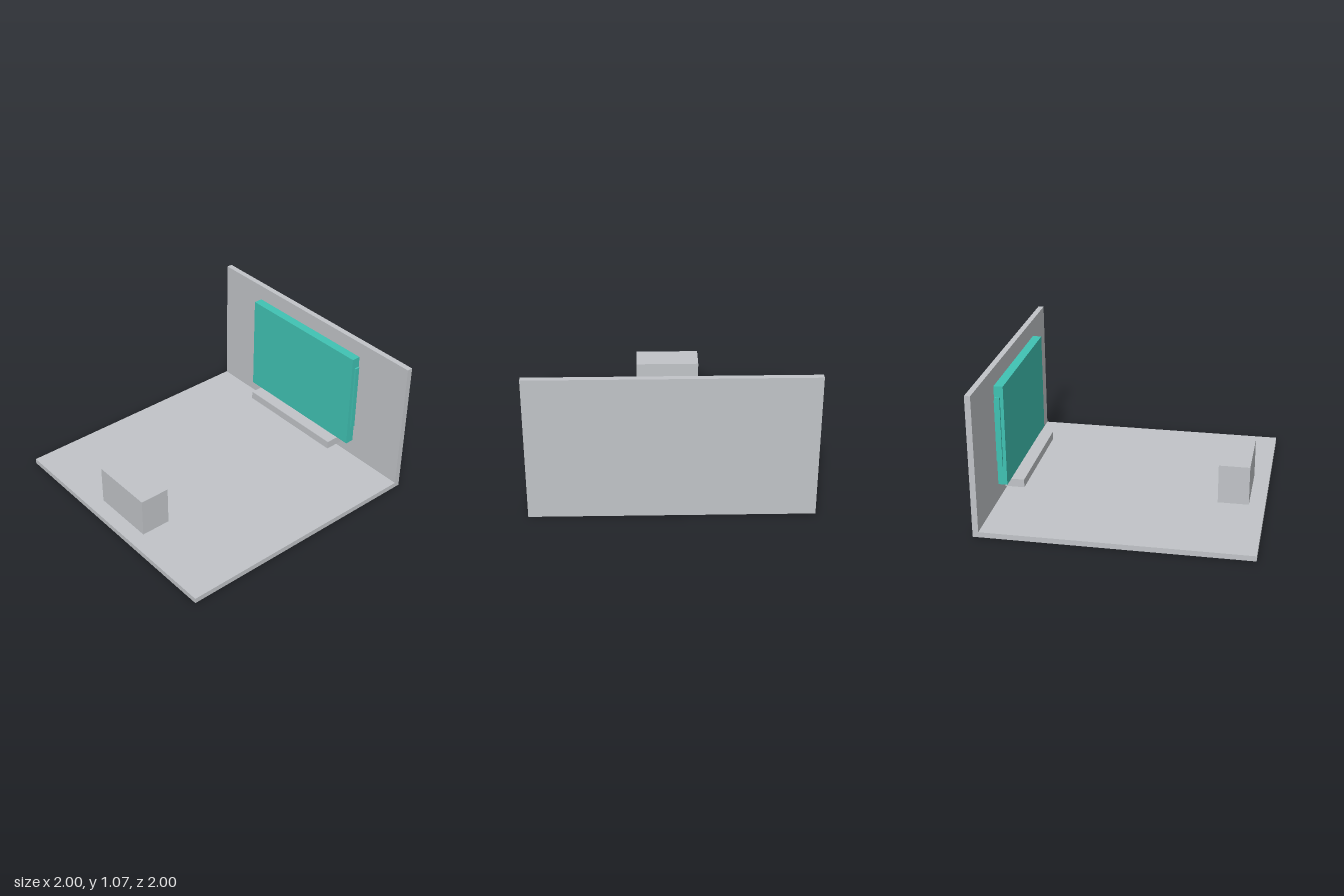
import * as THREE from 'three';

export function createModel() {
  const model = new THREE.Group();
  model.name = 'screenRoom';

  const grey = new THREE.MeshStandardMaterial({ color: 0xc1c4c8 });
  grey.name = 'light grey';
  const teal = new THREE.MeshStandardMaterial({ color: 0x40c2b3 });
  teal.name = 'teal';

  // Box given by its extents along each axis
  function block(name, material, [x0, x1], [y0, y1], [z0, z1], parent = model) {
    const mesh = new THREE.Mesh(new THREE.BoxGeometry(x1 - x0, y1 - y0, z1 - z0), material);
    mesh.position.set((x0 + x1) / 2, (y0 + y1) / 2, (z0 + z1) / 2);
    mesh.name = name;
    parent.add(mesh);
    return mesh;
  }

  // Room: floor slab and back wall
  block('floor', grey, [-1, 1], [0, 0.04], [-0.957, 1]);
  block('backWall', grey, [-1, 1], [0, 1.07], [-1, -0.957]);

  // Free-standing block near the front, and the shelf under the screen
  block('frontBlock', grey, [-0.25, 0.25], [0.04, 0.34], [0.65, 0.88]);
  block('shelf', grey, [-0.447, 0.447], [0.138, 0.2], [-0.91, -0.767]);

  // Screen with a rear panel and a slim strip on each side
  const screen = new THREE.Group();
  screen.name = 'screen';
  model.add(screen);
  block('screenPanel', teal, [-0.55, 0.55], [0.2, 0.97], [-0.933, -0.865], screen);
  block('rearPanel', teal, [-0.545, 0.545], [0.38, 0.858], [-0.938, -0.933], screen);
  block('leftStrip', teal, [0.55, 0.565], [0.35, 0.887], [-0.924, -0.89], screen);
  block('rightStrip', teal, [-0.565, -0.55], [0.35, 0.887], [-0.924, -0.89], screen);

  return model;
}
